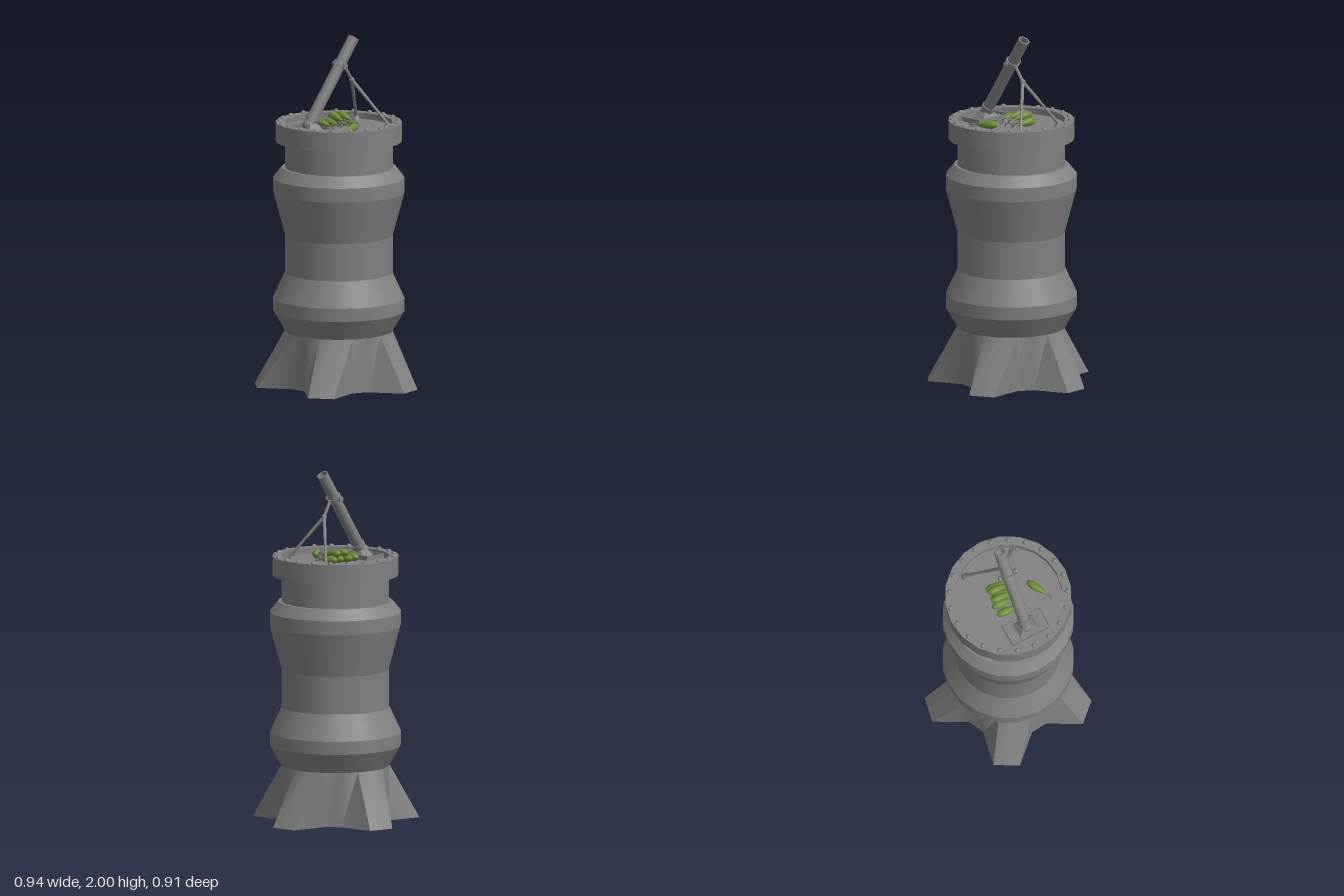
import * as THREE from 'three';
import { toCreasedNormals } from 'three/addons/utils/BufferGeometryUtils.js';

const V = (x, y, z) => new THREE.Vector3(x, y, z);
const UP = V(0, 1, 0);
const SIDES = 20;
const START = THREE.MathUtils.degToRad(5.4); // angle of the first corner of the tower
const CX = -0.005, CZ = 0.01; // tower axis

export function createModel() {
  const stone = new THREE.MeshStandardMaterial({ color: 0x808080 });
  stone.name = 'grey';
  const green = new THREE.MeshStandardMaterial({ color: 0x6b8a35 });
  green.name = 'shell green';

  const model = new THREE.Group();
  model.name = 'mortarTower';

  const add = (parent, name, geometry, material = stone) => {
    const mesh = new THREE.Mesh(geometry, material);
    mesh.name = name;
    parent.add(mesh);
    return mesh;
  };
  const lathe = (pts, sides, start = 0) =>
    new THREE.LatheGeometry(pts.map(([r, y]) => new THREE.Vector2(r, y)), sides, start);
  // Stand an object at a with its y axis pointing towards b
  const aim = (object, a, b) => {
    object.position.copy(a);
    object.quaternion.setFromUnitVectors(UP, b.clone().sub(a).normalize());
    return object;
  };
  const rod = (parent, name, a, b, r0, r1 = r0) => {
    const length = a.distanceTo(b);
    const g = new THREE.CylinderGeometry(r1, r0, length, 10).translate(0, length / 2, 0);
    return aim(add(parent, name, g), a, b);
  };

  // Tower body: one lathe per band, so the edges between bands stay sharp
  const tower = new THREE.Group();
  tower.name = 'tower';
  tower.position.set(CX, 0, CZ);
  model.add(tower);
  const profile = [
    [0.306, 0.31], [0.373, 0.425], [0.373, 0.5], [0.306, 0.645], [0.306, 0.86],
    [0.373, 1.11], [0.373, 1.19], [0.325, 1.25], [0.306, 1.25], [0.306, 1.4],
    [0.359, 1.4], [0.359, 1.51], [0.306, 1.51], [0.306, 1.475], [0, 1.475],
  ];
  for (let i = 0; i < profile.length - 1; i++) {
    const name = i < 9 ? 'bodyBand' : i < 12 ? 'collar' : 'platformFloor';
    add(tower, name, lathe([profile[i], profile[i + 1]], SIDES, START + Math.PI / 2));
  }

  // Flared base: every fourth side is pulled out into a foot
  const ring = (y, radius) => Array.from({ length: SIDES }, (_, k) => {
    const a = START + (k * Math.PI * 2) / SIDES;
    return V(Math.cos(a) * radius(k), y, -Math.sin(a) * radius(k));
  });
  const low = ring(0, (k) => (k % 4 < 2 ? 0.478 : 0.306));
  const high = ring(0.31, () => 0.306);
  const corners = [];
  for (let k = 0; k < SIDES; k++) {
    const n = (k + 1) % SIDES;
    corners.push(low[k], low[n], high[n], low[k], high[n], high[k], V(0, 0, 0), low[n], low[k]);
  }
  const base = new THREE.BufferGeometry().setFromPoints(corners);
  add(tower, 'footedBase', toCreasedNormals(base, 0.87));

  // Rivets round the rim
  const rivet = new THREE.SphereGeometry(0.015, 10, 4, 0, Math.PI * 2, 0, Math.PI / 2);
  for (let i = 0; i < 21; i++) {
    const a = (i / 21) * Math.PI * 2 + 0.02;
    add(tower, 'rivet', rivet).position.set(Math.sin(a) * 0.334, 1.509, Math.cos(a) * 0.334);
  }

  // Base plate with raised rim and pyramid socket
  const FLOOR = 1.475;
  const plate = new THREE.Group();
  plate.name = 'basePlate';
  plate.position.set(-0.205, FLOOR, 0.043);
  plate.rotation.y = 0.145;
  model.add(plate);
  add(plate, 'plate', new THREE.BoxGeometry(0.135, 0.012, 0.243)).position.y = 0.006;
  for (const s of [-1, 1]) {
    add(plate, 'plateRim', new THREE.BoxGeometry(0.008, 0.026, 0.243)).position.set(s * 0.0635, 0.013, 0);
    add(plate, 'plateRim', new THREE.BoxGeometry(0.135, 0.026, 0.008)).position.set(0, 0.013, s * 0.1175);
  }
  const socket = new THREE.CylinderGeometry(0.4, Math.SQRT1_2, 1, 4).rotateY(Math.PI / 4)
    .toNonIndexed();
  socket.scale(0.095, 0.035, 0.125);
  socket.computeVertexNormals();
  add(plate, 'socket', socket).position.y = 0.029;

  // Barrel with open muzzle
  const foot = V(-0.212, 1.51, 0.041), muzzle = V(0.097, 1.982, -0.004);
  const length = foot.distanceTo(muzzle);
  const barrel = new THREE.Group();
  barrel.name = 'barrel';
  aim(barrel, foot, muzzle);
  model.add(barrel);
  const tube = lathe([[0, 0], [0.033, 0], [0.033, length], [0.025, length], [0.025, 0.1], [0, 0.1]], 20);
  add(barrel, 'barrelTube', toCreasedNormals(tube, 0.7));
  add(barrel, 'breechBall', new THREE.SphereGeometry(0.036, 16, 10));
  add(barrel, 'breechRing', new THREE.CylinderGeometry(0.039, 0.039, 0.022, 20)).position.y = 0.045;

  // Clamp with cross bar and knobs
  const clampAt = foot.clone().lerp(muzzle, 0.69);
  add(barrel, 'clamp', new THREE.CylinderGeometry(0.041, 0.041, 0.03, 20)).position.y = length * 0.69;
  const bar = new THREE.Group();
  bar.name = 'crossBar';
  bar.position.copy(clampAt);
  bar.rotation.y = 0.145;
  model.add(bar);
  rod(bar, 'bar', V(0, 0, -0.06), V(0, 0, 0.06), 0.008);
  for (const s of [-1, 1]) {
    rod(bar, 'knob', V(0, 0, s * 0.047), V(0, 0, s * 0.057), 0.016);
  }

  // Bipod
  const joint = V(0.085, 1.74, -0.003);
  rod(model, 'bipodStrut', clampAt.clone().add(V(0.03, -0.01, 0)), joint, 0.009);
  add(model, 'bipodJoint', new THREE.SphereGeometry(0.016, 12, 8)).position.copy(joint);
  for (const [x, z] of [[0.198, -0.172], [0.245, 0.13]]) {
    const end = V(x, FLOOR + 0.02, z);
    rod(model, 'bipodLeg', end, joint, 0.009, 0.007);
    rod(model, 'bipodSleeve', joint.clone().lerp(end, 0.04), joint.clone().lerp(end, 0.45), 0.01);
    add(model, 'bipodFoot', new THREE.CylinderGeometry(0.012, 0.025, 0.025, 10))
      .position.set(x, FLOOR + 0.0125, z);
  }

  // Mortar shells: green teardrop body, grey finned tail
  const shellBody = lathe([[0, 0.05], [0.007, 0.05], [0.015, 0.078], [0.022, 0.108], [0.024, 0.13],
    [0.021, 0.152], [0.012, 0.168], [0, 0.174]], 12);
  const shellTail = new THREE.CylinderGeometry(0.006, 0.005, 0.052, 8).translate(0, 0.026, 0);
  const fin = new THREE.BoxGeometry(0.026, 0.026, 0.002).translate(0, 0.014, 0);
  const shell = (tail, nose) => {
    const group = new THREE.Group();
    group.name = 'shell';
    add(group, 'shellBody', shellBody, green);
    add(group, 'shellTail', shellTail);
    for (let i = 0; i < 4; i++) add(group, 'shellFin', fin).rotation.y = Math.PI / 4 * i;
    model.add(aim(group, tail, nose));
  };
  const low0 = FLOOR + 0.022;
  [-0.09, -0.037, 0.016, 0.069].forEach((x, i) => {
    const z = i % 2 ? -0.1 : -0.09;
    shell(V(x + 0.018, low0 - 0.005, z + 0.172), V(x, low0 + 0.004, z));
  });
  for (const x of [-0.01, 0.043]) {
    shell(V(x + 0.015, low0 + 0.018, 0.075), V(x, low0 + 0.04, -0.096));
  }
  shell(V(-0.1, low0 - 0.006, 0.24), V(0.042, low0 + 0.005, 0.142));

  return model;
}
